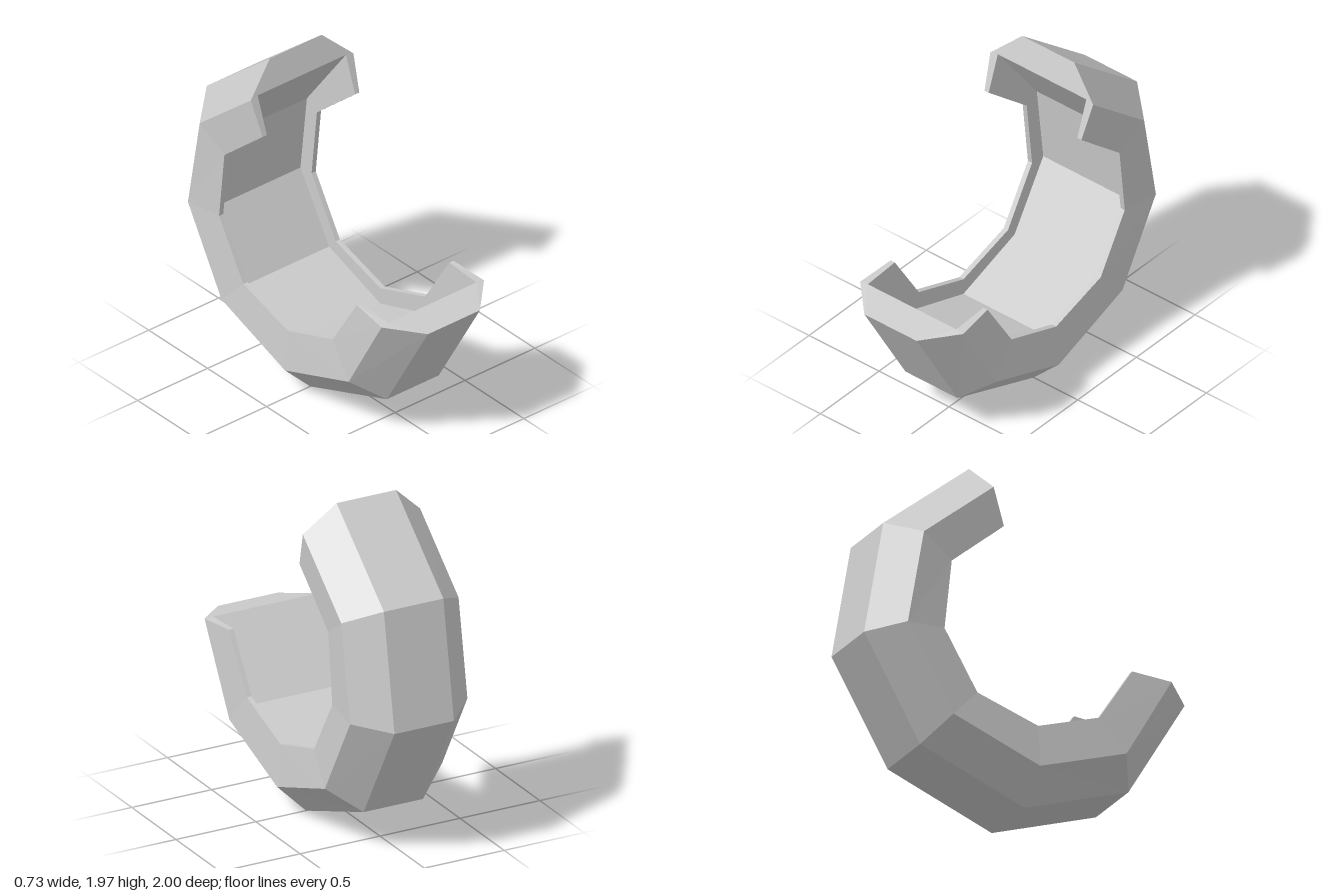
import * as THREE from 'three';

// Stations along the bend, each as [z, y] of keel edge, chamfer edge, rim and channel floor
const STATIONS = [
  [[1.0, 0.84], [0.82, 0.87], [0.585, 0.89], [0.815, 0.875]],
  [[0.65, 0.24], [0.54, 0.375], [0.38, 0.565], [0.45, 0.48]],
  [[0, 0], [0, 0.18], [0, 0.43], [0, 0.33]],
  [[-0.65, 0.24], [-0.54, 0.375], [-0.38, 0.547], [-0.437, 0.485]],
  [[-1.0, 0.84], [-0.825, 0.87], [-0.585, 0.89], [-0.68, 0.88]],
  [[-0.88, 1.525], [-0.725, 1.435], [-0.54, 1.31], [-0.625, 1.36]],
  [[-0.345, 1.97], [-0.29, 1.8], [-0.215, 1.59], [-0.293, 1.81]],
];

// Half widths
const KEEL = 0.186, SIDE = 0.367, RIM = 0.346, INNER = 0.316;

// U-shaped cross-section as a closed ring of ten points
function section([keel, side, rim, floor]) {
  const p = (x, [z, y]) => [x, y, z];
  return [
    p(RIM, rim), p(SIDE, side), p(KEEL, keel),
    p(-KEEL, keel), p(-SIDE, side), p(-RIM, rim),
    p(-INNER, rim), p(-INNER, floor), p(INNER, floor), p(INNER, rim),
  ];
}

function channelGeometry() {
  const rings = STATIONS.map(section);
  const pos = [];
  const face = (pts) => {
    for (let i = 1; i < pts.length - 1; i++) pos.push(...pts[0], ...pts[i], ...pts[i + 1]);
  };

  // Walls between neighbouring sections
  for (let s = 0; s < rings.length - 1; s++) {
    const a = rings[s], b = rings[s + 1];
    for (let i = 0; i < a.length; i++) {
      const j = (i + 1) % a.length;
      face([a[i], a[j], b[j], b[i]]);
    }
  }

  // U-shaped end faces
  const cap = [[0, 1, 8, 9], [1, 2, 8], [2, 3, 7, 8], [3, 4, 7], [4, 5, 6, 7]];
  const last = rings[rings.length - 1];
  for (const c of cap) {
    face([...c].reverse().map((i) => rings[0][i]));
    face(c.map((i) => last[i]));
  }

  const geo = new THREE.BufferGeometry();
  geo.setAttribute('position', new THREE.Float32BufferAttribute(pos, 3));
  geo.computeVertexNormals();
  return geo;
}

export function createModel() {
  const model = new THREE.Group();
  model.name = 'curvedCuff';
  const material = new THREE.MeshStandardMaterial({ color: 0xcccccc, flatShading: true });
  const shell = new THREE.Mesh(channelGeometry(), material);
  shell.name = 'channelShell';
  model.add(shell);
  return model;
}
